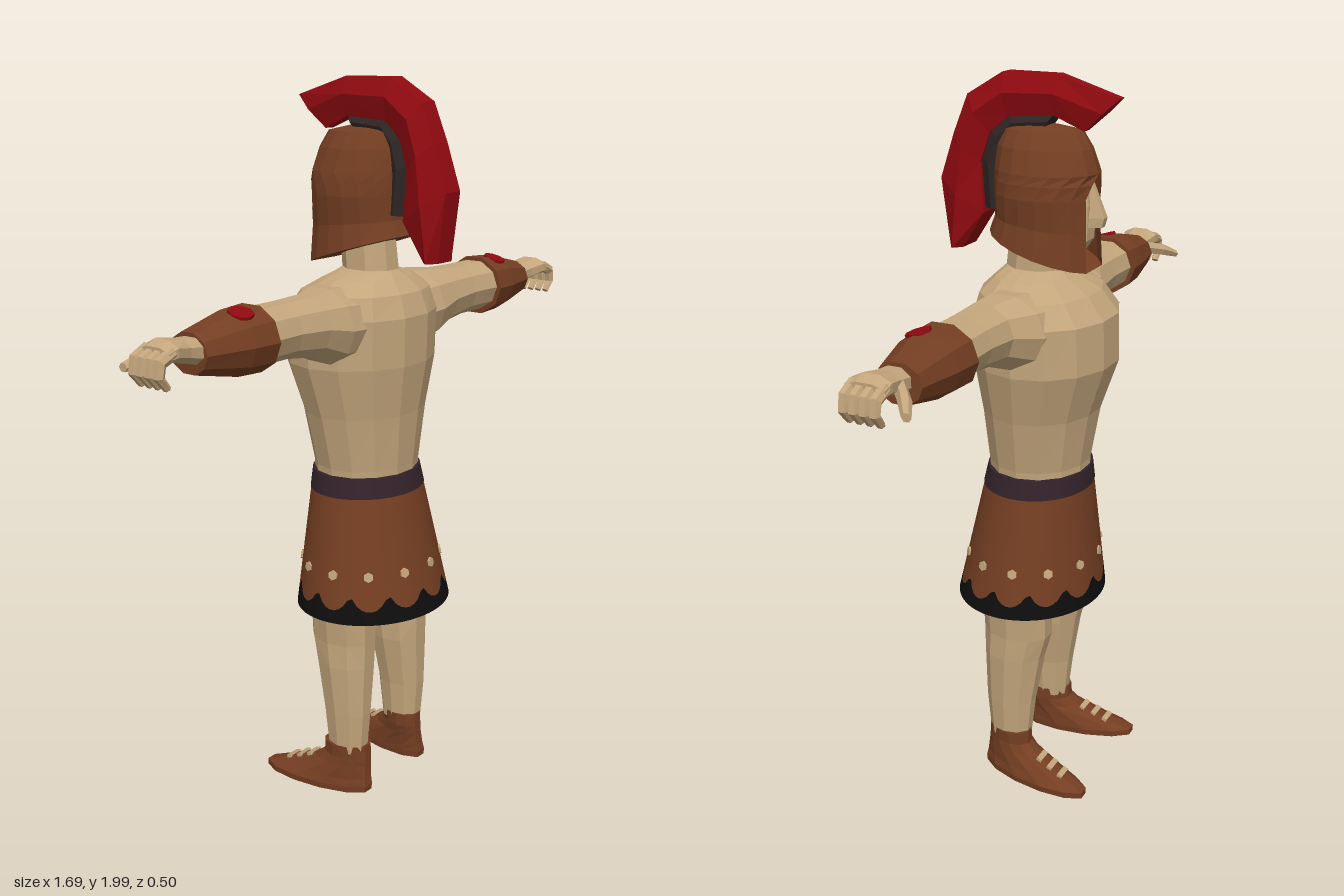
import * as THREE from 'three';

const mat = (name, color) => {
  const m = new THREE.MeshStandardMaterial({ color, side: THREE.DoubleSide, flatShading: true });
  m.name = name;
  return m;
};

// Ring around the y axis; zb / zf are its back (+z) and front (-z) limits
function yRing(y, cx, rx, zb, zf, n = 12, turn = 0) {
  const c = (zb + zf) / 2, r = (zb - zf) / 2;
  return Array.from({ length: n }, (_, i) => {
    const a = ((i + 0.5) / n) * Math.PI * 2;
    const z = c + (r * Math.cos(a)) / Math.cos(Math.PI / n);
    return [cx + rx * Math.sin(a) - turn * z, y, z];
  });
}

// Ring around the x axis, optionally tilted downward
function xRing(x, y, z, ry, rz, n = 8, tilt = 0) {
  return Array.from({ length: n }, (_, i) => {
    const a = ((i + 0.5) / n) * Math.PI * 2, h = ry * Math.cos(a) / Math.cos(Math.PI / n);
    return [x + h * Math.sin(tilt), y + h * Math.cos(tilt), z + rz * Math.sin(a) / Math.cos(Math.PI / n)];
  });
}

// Faceted skin over a row of rings; side = -1 mirrors it in x
function loft(rings, { side = 1, caps = true, closed = true } = {}) {
  const pos = [];
  const tri = (a, b, c) => {
    for (const p of side > 0 ? [a, b, c] : [a, c, b]) pos.push(p[0] * side, p[1], p[2]);
  };
  const n = rings[0].length;
  for (let i = 0; i + 1 < rings.length; i++) {
    for (let j = 0; j < (closed ? n : n - 1); j++) {
      const k = (j + 1) % n, lo = rings[i], hi = rings[i + 1];
      tri(lo[j], lo[k], hi[k]);
      tri(lo[j], hi[k], hi[j]);
    }
  }
  if (caps) {
    const mid = r => [0, 1, 2].map(q => r.reduce((s, p) => s + p[q], 0) / n);
    const a = rings[0], b = rings[rings.length - 1], ca = mid(a), cb = mid(b);
    for (let j = 0; j < n; j++) {
      const k = (j + 1) % n;
      tri(ca, a[k], a[j]);
      tri(cb, b[j], b[k]);
    }
  }
  const g = new THREE.BufferGeometry();
  g.setAttribute('position', new THREE.Float32BufferAttribute(pos, 3));
  g.computeVertexNormals();
  return g;
}

export function createModel() {
  const model = new THREE.Group();
  model.name = 'warrior';
  const skin = mat('skin', 0xc4a67c), leather = mat('leather', 0x743e22), red = mat('red', 0x900a10);
  const belt = mat('belt', 0x33232a), black = mat('black', 0x0e0e0e), dark = mat('crest base', 0x2e2524);
  const add = (name, geo, m, parent = model) => {
    const mesh = new THREE.Mesh(geo, m);
    mesh.name = name;
    parent.add(mesh);
    return mesh;
  };

  // Torso and neck
  add('torso', loft([
    [0.88, 0.15, 0.105, -0.16], [0.97, 0.155, 0.11, -0.16], [1.12, 0.185, 0.122, -0.185],
    [1.26, 0.222, 0.142, -0.232], [1.39, 0.225, 0.145, -0.228], [1.45, 0.2, 0.125, -0.18],
    [1.485, 0.14, 0.09, -0.12], [1.505, 0.07, 0.07, -0.09]
  ].map(([y, rx, b, f]) => yRing(y, 0, rx, b, f, 14))), skin);
  add('neck', loft([yRing(1.48, 0, 0.068, 0.068, -0.085, 8), yRing(1.64, 0, 0.06, 0.05, -0.1, 8)]), skin);

  // Skirt with a lobed lower edge, dark hem and studs
  const N = 96, lobes = 12, phase = 0.17;
  const around = (y, grow = 0) => {
    const t = (0.95 - y) / 0.39;
    return [0.16 + 0.075 * t + grow, 0.14 + 0.065 * t + grow, -0.025 + 0.025 * t];
  };
  const skirtRing = (yAt, grow = 0) => Array.from({ length: N }, (_, i) => {
    const a = (i / N) * Math.PI * 2, y = yAt(a), [rx, rz, cz] = around(y, grow);
    return [rx * Math.sin(a), y, cz + rz * Math.cos(a)];
  });
  const edge = a => 0.655 - 0.06 * Math.sqrt(Math.abs(Math.cos(((a - phase) * lobes) / 2)));
  add('skirt', loft([skirtRing(edge), skirtRing(() => 0.74), skirtRing(() => 0.9)], { caps: false }), leather);
  add('hem', loft([skirtRing(() => 0.56), skirtRing(edge)], { caps: false }), black);
  add('belt', loft([skirtRing(() => 0.897, 0.002), skirtRing(() => 0.952, 0.002)]), belt);
  for (let i = 0; i < lobes; i++) {
    const a = phase + (i / lobes) * Math.PI * 2, [rx, rz, cz] = around(0.69, 0.002);
    const stud = add('skirtStud', new THREE.CylinderGeometry(0.014, 0.014, 0.006, 6).rotateX(Math.PI / 2), skin);
    stud.position.set(rx * Math.sin(a), 0.69, cz + rz * Math.cos(a));
    stud.rotation.set(-0.19, a, 0, 'YXZ');
  }
  add('loincloth', loft([
    yRing(0.54, 0, 0.035, 0.06, -0.06, 8), yRing(0.63, 0, 0.08, 0.09, -0.1, 8), yRing(0.86, 0, 0.13, 0.09, -0.13, 8)
  ]), black);

  for (const side of [1, -1]) {
    const name = side > 0 ? 'left' : 'right';
    const limb = new THREE.Group();
    limb.name = name + 'Limbs';
    model.add(limb);
    const part = (label, rings, m) => add(name + label, loft(rings, { side }), m, limb);

    // Leg and shoe
    part('Leg', [
      [0.13, 0.128, 0.047, 0.065, -0.052], [0.25, 0.128, 0.056, 0.075, -0.065], [0.4, 0.122, 0.072, 0.08, -0.09],
      [0.47, 0.12, 0.073, 0.082, -0.108], [0.56, 0.121, 0.08, 0.085, -0.11], [0.74, 0.115, 0.085, 0.09, -0.115]
    ].map(r => yRing(...r, 10)), skin);
    part('Shoe', [
      [0.01, 0.14, 0.058, 0.08, -0.25], [0.028, 0.14, 0.06, 0.082, -0.25], [0.05, 0.137, 0.055, 0.078, -0.19],
      [0.09, 0.133, 0.05, 0.075, -0.09], [0.115, 0.13, 0.05, 0.074, -0.06], [0.152, 0.13, 0.051, 0.072, -0.058]
    ].map(r => yRing(...r, 12, 0.15)), leather);
    for (let i = 0; i < 3; i++) {
      const z = -0.105 - i * 0.035;
      const gap = add(name + 'ShoeOpening', new THREE.BoxGeometry(0.045, 0.009, 0.016), skin, limb);
      gap.position.set(side * (0.135 - 0.15 * z), 0.084 + (z + 0.105) * 0.4, z);
      gap.rotation.x = -0.38;
    }

    // Arm with bracer and its red mark
    part('Arm', [
      [0.1, 1.37, -0.03, 0.1, 0.12], [0.2, 1.375, -0.018, 0.1, 0.11], [0.28, 1.39, 0, 0.078, 0.082],
      [0.38, 1.395, 0, 0.07, 0.076], [0.5, 1.395, 0, 0.07, 0.08]
    ].map(r => xRing(...r, 10)), skin);
    part('Bracer', [
      [0.48, 1.393, 0, 0.082, 0.092], [0.56, 1.392, 0, 0.078, 0.086], [0.69, 1.39, -0.004, 0.05, 0.06]
    ].map(r => xRing(...r, 10)), leather);
    const mark = add(name + 'BracerMark', new THREE.CylinderGeometry(0.033, 0.033, 0.008, 8), red, limb);
    mark.position.set(side * 0.545, 1.467, 0.028);
    mark.rotation.set(0.3, 0, side * -0.06);

    // Hand with curled fingers and thumb
    part('Hand', [
      [0.67, 1.395, 0.004, 0.034, 0.042], [0.73, 1.405, 0.006, 0.028, 0.042],
      [0.78, 1.415, 0.008, 0.026, 0.053], [0.81, 1.41, 0.008, 0.018, 0.053]
    ].map(r => xRing(...r, 8)), skin);
    for (let i = 0; i < 4; i++) {
      const z = -0.032 + i * 0.027;
      part('Finger', [
        [0.79, 1.415, z, 0.015, 0.013, 6, 0.2], [0.828, 1.398, z, 0.014, 0.013, 6, 0.8],
        [0.834, 1.365, z, 0.012, 0.012, 6, 1.6], [0.81, 1.336, z, 0.008, 0.009, 6, 2.2]
      ].map(r => xRing(...r)), skin);
    }
    part('Thumb', [
      [0.71, 1.4, -0.015, 0.018, 0.02, 6], [0.765, 1.385, -0.065, 0.017, 0.018, 6],
      [0.81, 1.365, -0.096, 0.01, 0.012, 6]
    ].map(r => xRing(...r)), skin);
  }

  // Face and nose
  add('face', loft([
    [1.55, 0.045, 0.03, -0.14], [1.59, 0.075, 0.05, -0.165], [1.68, 0.085, 0.06, -0.17], [1.78, 0.08, 0.06, -0.155]
  ].map(([y, rx, b, f]) => yRing(y, 0, rx, b, f, 10))), skin);
  add('nose', loft([
    yRing(1.625, 0, 0.022, -0.13, -0.2, 6), yRing(1.65, 0, 0.022, -0.13, -0.207, 6), yRing(1.74, 0, 0.012, -0.13, -0.17, 6)
  ]), skin);

  // Helmet: open at the face, with cheek guards dropping toward the front
  const helmetRing = (y, rx, zb, zf, gap, slant = 0) => Array.from({ length: 17 }, (_, i) => {
    const a = -Math.PI + gap + (i / 16) * (Math.PI - gap) * 2;
    const z = (zb + zf) / 2 + ((zb - zf) / 2) * Math.cos(a);
    return [rx * Math.sin(a), y + slant * (z - zb), z];
  });
  add('helmet', loft([
    helmetRing(1.6, 0.125, 0.115, -0.19, 0.42, 0.3), helmetRing(1.64, 0.113, 0.1, -0.185, 0.42, 0.1),
    helmetRing(1.7, 0.12, 0.1, -0.182, 0.4), helmetRing(1.735, 0.117, 0.1, -0.185, 0.25),
    helmetRing(1.76, 0.112, 0.1, -0.185, 0), helmetRing(1.82, 0.09, 0.095, -0.165, 0),
    helmetRing(1.862, 0.065, 0.08, -0.14, 0), helmetRing(1.875, 0.02, 0.03, -0.08, 0)
  ], { closed: false }), leather);

  // Crest: [outer z, y, inner z, y, half width], from the nape over to the brow
  const crest = [
    [0.232, 1.54, 0.19, 1.54, 0.06], [0.255, 1.72, 0.125, 1.64, 0.064], [0.215, 1.84, 0.135, 1.77, 0.06],
    [0.175, 1.94, 0.11, 1.845, 0.054], [0.075, 2, 0.06, 1.89, 0.046], [-0.075, 2, -0.07, 1.9, 0.042],
    [-0.245, 1.95, -0.15, 1.865, 0.026]
  ];
  const section = ([oz, oy, iz, iy, w]) => {
    const at = (x, t) => [x, oy + (iy - oy) * t, oz + (iz - oz) * t];
    return [at(-w * 0.5, 0), at(w * 0.5, 0), at(w, 0.45), at(w * 0.6, 1), at(-w * 0.6, 1), at(-w, 0.45)];
  };
  add('crest', loft(crest.map(section)), red);
  add('crestBase', loft(crest.slice(1, 6).map(([, , z, y, w]) => section([
    z * 1.04, y + 0.012, z * 0.5, 1.7 + (y - 1.7) * 0.75, w * 0.75
  ]))), dark);

  return model;
}
